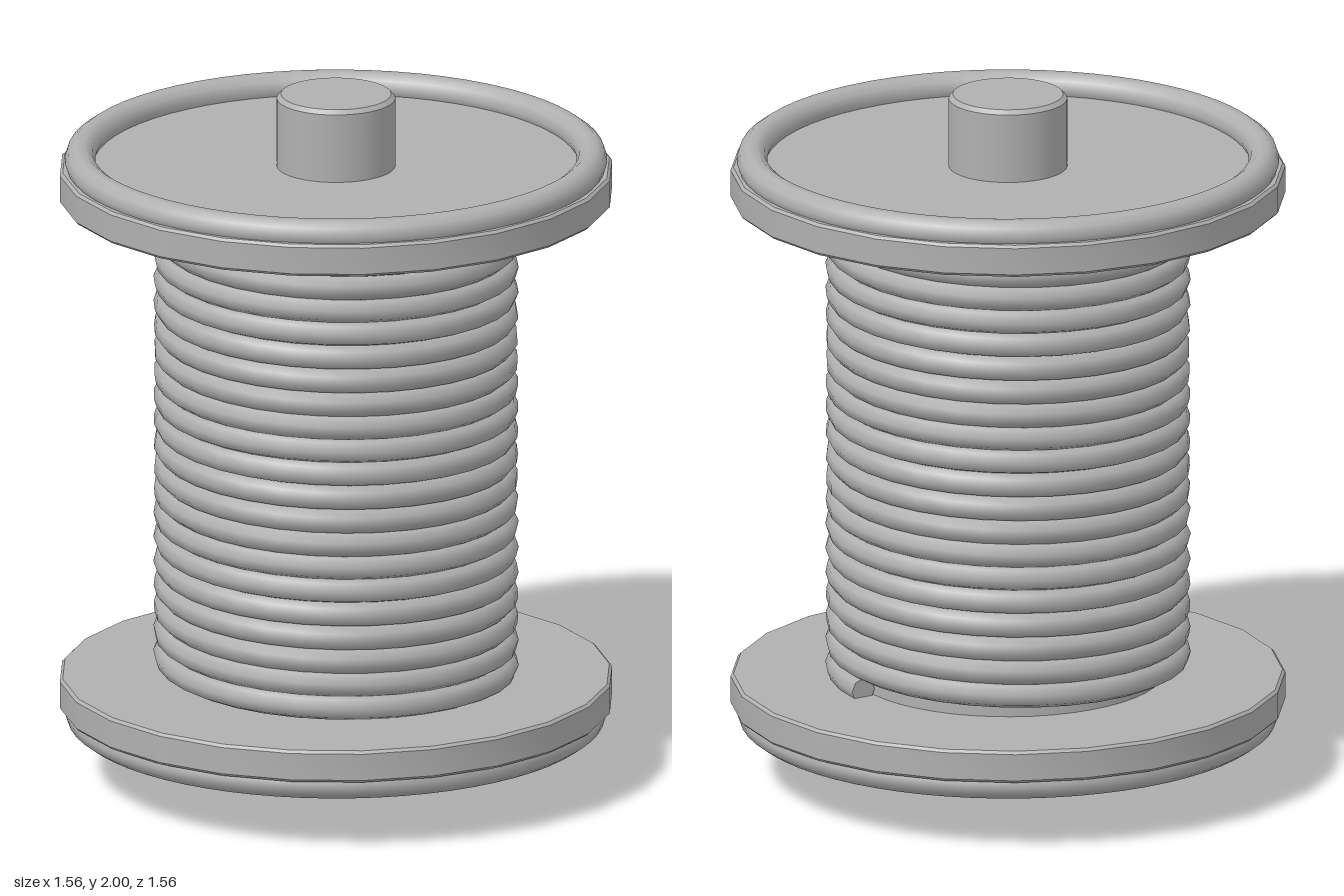
import * as THREE from 'three';
import { toCreasedNormals } from 'three/addons/utils/BufferGeometryUtils.js';

// Wire path: rises while turning from +x through +z
class WirePath extends THREE.Curve {
  constructor(radius, startY, pitch, turns) {
    super();
    Object.assign(this, { radius, startY, pitch, turns });
    this.arcLengthDivisions = 2000;
  }
  getPoint(t, target = new THREE.Vector3()) {
    const n = t * this.turns, a = n * Math.PI * 2;
    return target.set(this.radius * Math.cos(a), this.startY + this.pitch * n, this.radius * Math.sin(a));
  }
}

// Solid disc or rod with chamfered edges
function chamferedCylinder(radius, y0, y1, bevel, sides) {
  const profile = [
    [0, y0], [radius - bevel, y0], [radius, y0 + bevel],
    [radius, y1 - bevel], [radius - bevel, y1], [0, y1],
  ].map(([x, y]) => new THREE.Vector2(x, y));
  return toCreasedNormals(new THREE.LatheGeometry(profile, sides), 0.5);
}

export function createModel() {
  const model = new THREE.Group();
  model.name = 'wireSpool';
  const grey = new THREE.MeshStandardMaterial({ color: 0xb0b0b0 });
  grey.name = 'grey';

  const add = (name, geometry, parent = model) => {
    const mesh = new THREE.Mesh(geometry, grey);
    mesh.name = name;
    parent.add(mesh);
    return mesh;
  };

  // Axle through the whole spool, and the drum the wire is wound on
  add('axle', chamferedCylinder(0.167, 0, 2, 0.012, 48));
  add('drum', new THREE.CylinderGeometry(0.44, 0.44, 1.42, 48, 1, true)).position.y = 1;

  // Flanges with a raised round rim on the outer face
  for (const [name, side] of [['top', 1], ['bottom', -1]]) {
    const flange = new THREE.Group();
    flange.name = name + 'Flange';
    model.add(flange);
    const inner = 1 + side * 0.697, outer = 1 + side * 0.79;
    add(name + 'Disc', chamferedCylinder(0.78, Math.min(inner, outer), Math.max(inner, outer), 0.008, 24), flange);
    const rim = add(name + 'Rim', new THREE.TorusGeometry(0.72, 0.043, 10, 64), flange);
    rim.rotation.x = Math.PI / 2;
    rim.position.y = 1 + side * 0.807;
  }

  // Wound wire with closed ends
  const wire = new THREE.Group();
  wire.name = 'wire';
  model.add(wire);
  const path = new WirePath(0.477, 0.322, 0.0686, 19.965);
  const wireRadius = 0.037;
  add('coil', new THREE.TubeGeometry(path, 640, wireRadius, 8, false), wire);
  for (const [name, t, dir] of [['wireStart', 0, -1], ['wireEnd', 1, 1]]) {
    const cap = add(name, new THREE.CircleGeometry(wireRadius, 8), wire);
    const point = path.getPoint(t);
    cap.position.copy(point);
    cap.lookAt(point.clone().addScaledVector(path.getTangent(t), dir));
  }

  return model;
}
